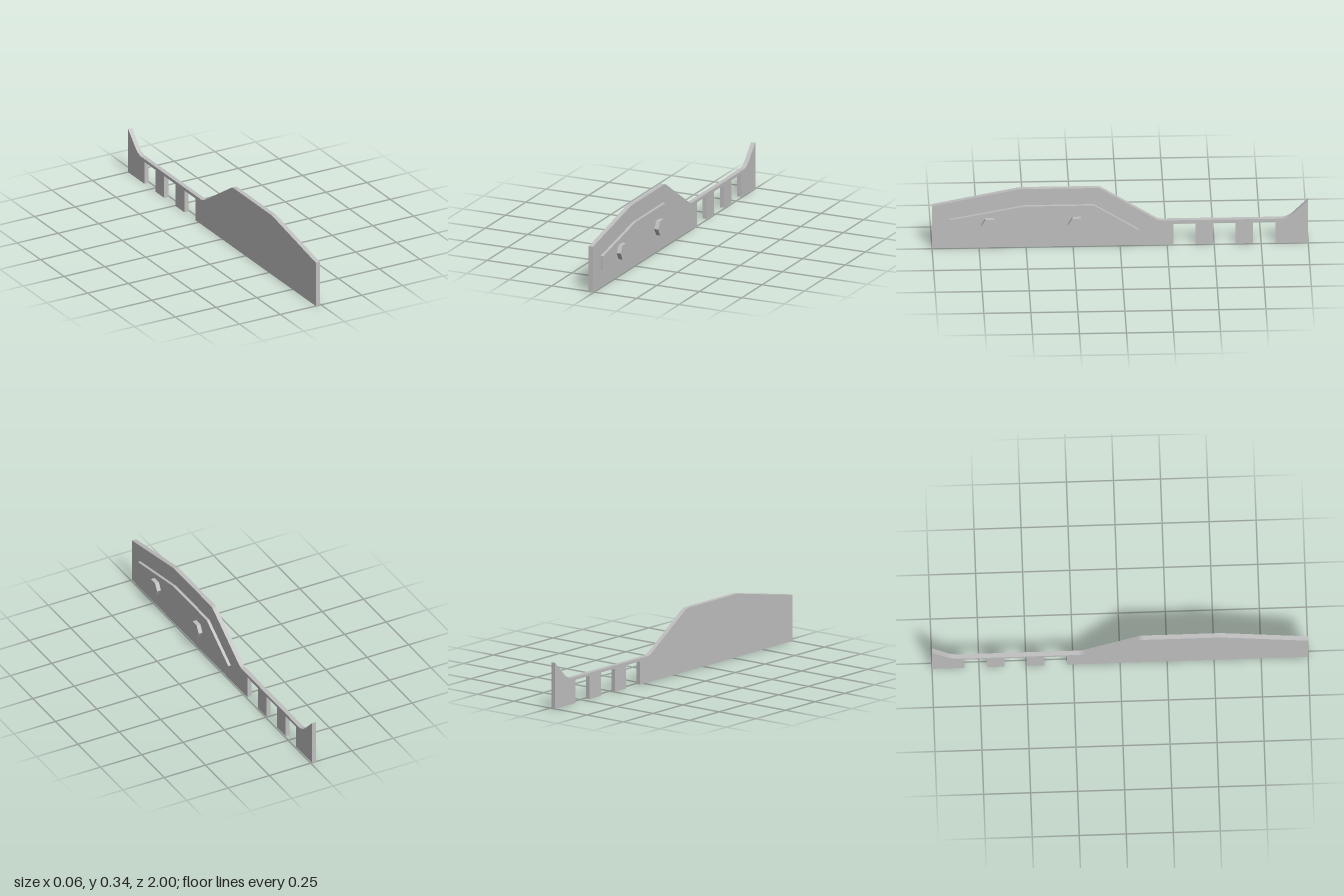
import * as THREE from 'three';

const steel = new THREE.MeshStandardMaterial({ color: 0xc0c0c0 });
steel.name = 'grey steel';

// Extrudes a side profile (u = -z, v = y) along +x from x0 to x1
function sidePlate(name, shape, x0, x1) {
  const geo = new THREE.ExtrudeGeometry(shape, { depth: x1 - x0, bevelEnabled: false, curveSegments: 8 });
  geo.rotateY(Math.PI / 2);
  geo.translate(x0, 0, 0);
  const mesh = new THREE.Mesh(geo, steel);
  mesh.name = name;
  return mesh;
}

export function createModel() {
  const group = new THREE.Group();
  group.name = 'notchedPlate';

  // Main plate: tall hump, thin neck with square notches, upswept tail
  const body = new THREE.Shape();
  body.moveTo(-1, 0);
  for (const [a, b] of [[0.283, 0.401], [0.494, 0.615], [0.708, 0.826]]) {
    body.lineTo(a, 0);
    body.lineTo(a, 0.127);
    body.lineTo(b, 0.127);
    body.lineTo(b, 0);
  }
  body.lineTo(1, 0);
  body.lineTo(1, 0.252);
  body.lineTo(0.925, 0.177);
  body.quadraticCurveTo(0.893, 0.144, 0.855, 0.144);
  body.lineTo(0.225, 0.144);
  body.quadraticCurveTo(0.203, 0.144, 0.182, 0.158);
  body.lineTo(-0.096, 0.336);
  body.quadraticCurveTo(-0.11, 0.345, -0.126, 0.345);
  body.lineTo(-0.52, 0.345);
  body.quadraticCurveTo(-0.537, 0.345, -0.554, 0.341);
  body.lineTo(-1, 0.252);
  body.closePath();
  group.add(sidePlate('mainPlate', body, -0.032, -0.007));

  // Raised cover plate
  const cover = new THREE.Shape([
    [-0.907, 0.097], [0.1, 0.097], [-0.14, 0.249], [-0.51, 0.249], [-0.907, 0.174],
  ].map(([u, v]) => new THREE.Vector2(u, v)));
  group.add(sidePlate('coverPlate', cover, -0.007, 0.009));

  // Hexagonal bolt heads, with corners pointing along z
  for (const [name, z] of [['frontBolt', 0.695], ['rearBolt', 0.232]]) {
    const hex = new THREE.Shape();
    for (let i = 0; i < 6; i++) {
      const a = (i * Math.PI) / 3;
      const u = -z + 0.0456 * Math.cos(a), v = 0.1435 + 0.0456 * Math.sin(a);
      if (i) hex.lineTo(u, v);
      else hex.moveTo(u, v);
    }
    hex.closePath();
    group.add(sidePlate(name, hex, 0.009, 0.032));
  }
  return group;
}
